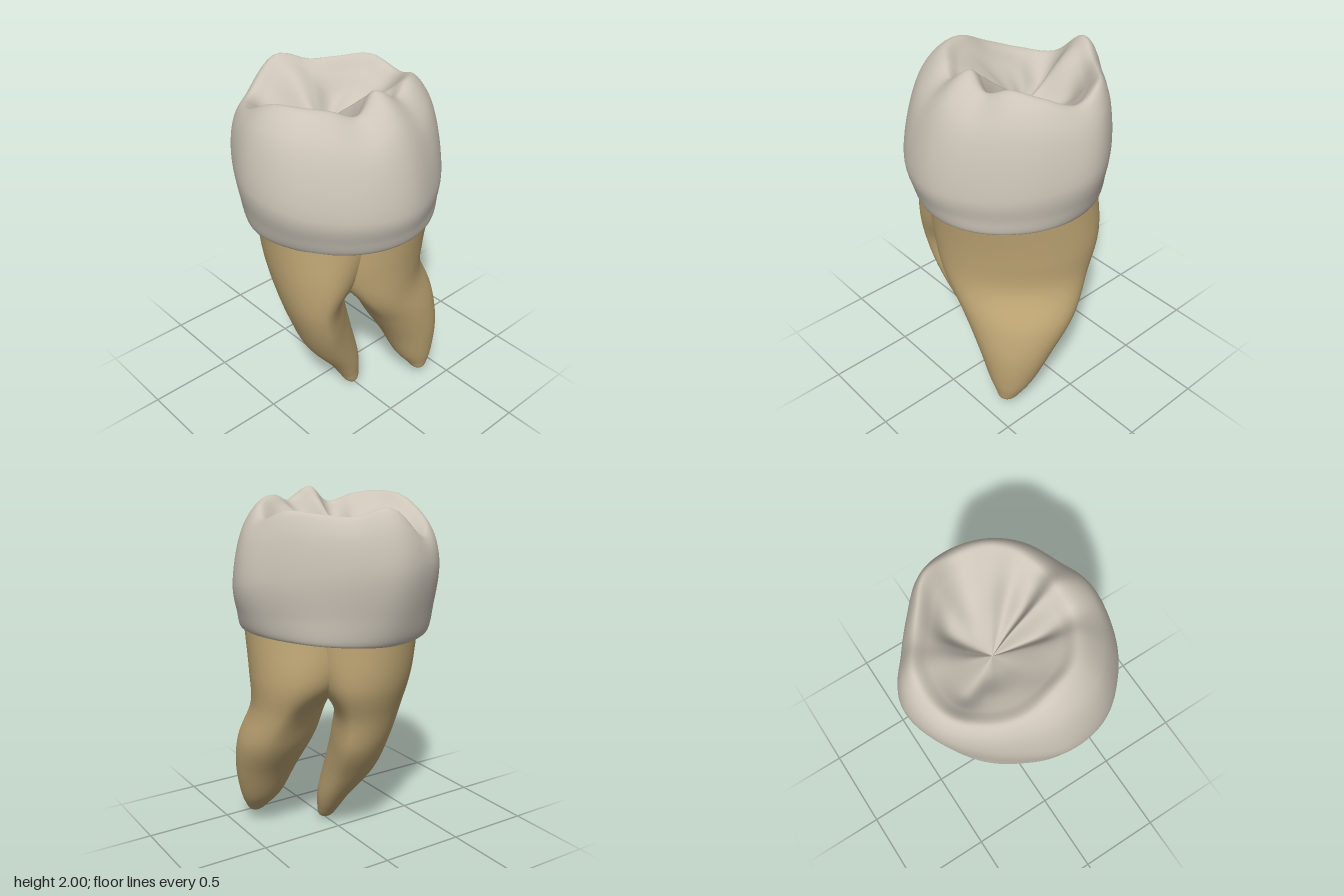
import * as THREE from 'three';

const COLS = 96;

// Cubic sample of a closed table of values given at equal angles
function around(table, a) {
  const n = table.length;
  const f = (a / (Math.PI * 2)) * n;
  const i = Math.floor(f), t = f - i;
  const [p, q, r, s] = [-1, 0, 1, 2].map((k) => table[(i + k + n) % n]);
  return q + 0.5 * t * (r - p + t * (2 * p - 5 * q + 4 * r - s + t * (3 * (q - r) + s - p)));
}

// Smooth skin: pointAt(row, angle) gives the control rings, from bottom to top
function loft(rowCount, pointAt, steps) {
  const position = [], index = [];
  for (let c = 0; c < COLS; c++) {
    const a = (c / COLS) * Math.PI * 2;
    const column = [];
    for (let r = 0; r < rowCount; r++) column.push(pointAt(r, a));
    for (const p of new THREE.CatmullRomCurve3(column).getPoints(steps)) position.push(p.x, p.y, p.z);
  }
  const rows = steps + 1;
  for (let c = 0; c < COLS; c++) {
    const next = (c + 1) % COLS;
    for (let r = 0; r < steps; r++) {
      const p = c * rows + r, q = next * rows + r;
      index.push(p, p + 1, q, q, p + 1, q + 1);
    }
  }
  const geometry = new THREE.BufferGeometry();
  geometry.setAttribute('position', new THREE.Float32BufferAttribute(position, 3));
  geometry.setIndex(index);
  geometry.computeVertexNormals();
  return geometry;
}

// Crown tables, every 22.5 degrees from +x towards +z
const neckRadius = [0.55, 0.54, 0.53, 0.53, 0.53, 0.50, 0.49, 0.48, 0.475, 0.46, 0.47, 0.49, 0.52, 0.54, 0.545, 0.55];
const bulgeRadius = [0.60, 0.60, 0.60, 0.615, 0.60, 0.56, 0.555, 0.58, 0.595, 0.52, 0.505, 0.545, 0.60, 0.585, 0.575, 0.575];
const rimRadius = [0.30, 0.34, 0.36, 0.40, 0.42, 0.46, 0.48, 0.50, 0.49, 0.43, 0.42, 0.46, 0.46, 0.42, 0.37, 0.34];
const rimHeight = [2.0, 1.91, 1.95, 1.97, 1.955, 1.87, 1.81, 1.80, 1.95, 1.91, 1.92, 1.935, 1.88, 1.94, 1.97, 1.93];
const slopeHeight = [1.88, 1.75, 1.84, 1.86, 1.83, 1.80, 1.75, 1.68, 1.85, 1.81, 1.72, 1.75, 1.73, 1.78, 1.85, 1.77];
const basinHeight = [1.78, 1.70, 1.74, 1.75, 1.73, 1.71, 1.67, 1.66, 1.74, 1.71, 1.67, 1.67, 1.68, 1.70, 1.73, 1.71];

function crownPoint(row, a) {
  const neck = around(neckRadius, a), bulge = around(bulgeRadius, a), rim = around(rimRadius, a);
  const rimY = around(rimHeight, a), slopeY = around(slopeHeight, a);
  const bulgeY = 1.55 - 0.11 * Math.cos(a);
  const neckY = 1.245 - 0.012 * Math.cos(2 * a) - 0.01 * Math.sin(a);
  const mix = THREE.MathUtils.lerp;
  const [radius, y, inward] = [
    [neck * 0.9, neckY + 0.03, 0],
    [neck, neckY, 0],
    [mix(neck, bulge, 0.62), mix(neckY, bulgeY, 0.42), 0],
    [bulge, bulgeY, 0],
    [mix(bulge, rim, 0.4), mix(bulgeY, rimY, 0.73), 0],
    [rim, rimY, 0],
    [rim * 0.82, mix(rimY, slopeY, 0.42), 0.18],
    [rim * 0.6, slopeY, 0.4],
    [rim * 0.28, around(basinHeight, a), 0.72],
    [0, 1.66, 1],
  ][row];
  // Inner rings drift towards the central pit
  return new THREE.Vector3(radius * Math.cos(a) - 0.08 * inward, y, radius * Math.sin(a) + 0.02 * inward);
}

// Root rings: [y, centre x, centre z, half width, depth to front left, depth to back right]
const frontRings = [
  [0, 0.165, 0, 0, 0, 0],
  [0.025, 0.152, 0.003, 0.05, 0.04, 0.04],
  [0.1, 0.125, 0.01, 0.10, 0.07, 0.07],
  [0.2, 0.095, 0.03, 0.16, 0.10, 0.10],
  [0.4, 0.045, 0.085, 0.28, 0.18, 0.13],
  [0.6, 0.01, 0.11, 0.385, 0.22, 0.13],
  [0.8, 0, 0.13, 0.44, 0.26, 0.14],
  [1.0, -0.01, 0.10, 0.49, 0.33, 0.25],
  [1.3, -0.01, 0.08, 0.49, 0.38, 0.40],
];
const backRings = [
  [0.05, 0.39, -0.36, 0, 0, 0],
  [0.07, 0.38, -0.357, 0.045, 0.04, 0.04],
  [0.12, 0.36, -0.355, 0.08, 0.075, 0.075],
  [0.2, 0.33, -0.345, 0.13, 0.12, 0.12],
  [0.4, 0.275, -0.32, 0.22, 0.17, 0.19],
  [0.6, 0.21, -0.27, 0.32, 0.20, 0.24],
  [0.82, 0.15, -0.17, 0.41, 0.17, 0.27],
  [1.02, 0.09, -0.11, 0.46, 0.30, 0.36],
  [1.3, 0.08, -0.07, 0.46, 0.40, 0.43],
];

// Root section: two half ellipses of different depth, turned about y
function rootGeometry(rings, turn) {
  const c = Math.cos(turn), s = Math.sin(turn);
  return loft(rings.length, (row, a) => {
    const [y, x, z, half, frontDepth, backDepth] = rings[row];
    const e = half * Math.cos(a);
    const d = (Math.sin(a) > 0 ? frontDepth : backDepth) * Math.sin(a);
    return new THREE.Vector3(x + e * c - d * s, y, z + e * s + d * c);
  }, 56);
}

export function createModel() {
  const enamel = new THREE.MeshStandardMaterial({ color: 0xcbc4b7 });
  enamel.name = 'enamel';
  const dentine = new THREE.MeshStandardMaterial({ color: 0xc0a775 });
  dentine.name = 'dentine';

  const model = new THREE.Group();
  model.name = 'molar';
  const add = (name, geometry, material) => {
    const mesh = new THREE.Mesh(geometry, material);
    mesh.name = name;
    model.add(mesh);
  };
  add('crown', loft(10, crownPoint, 90), enamel);
  add('frontRoot', rootGeometry(frontRings, 0.63), dentine);
  add('backRoot', rootGeometry(backRings, Math.PI / 4), dentine);
  return model;
}
